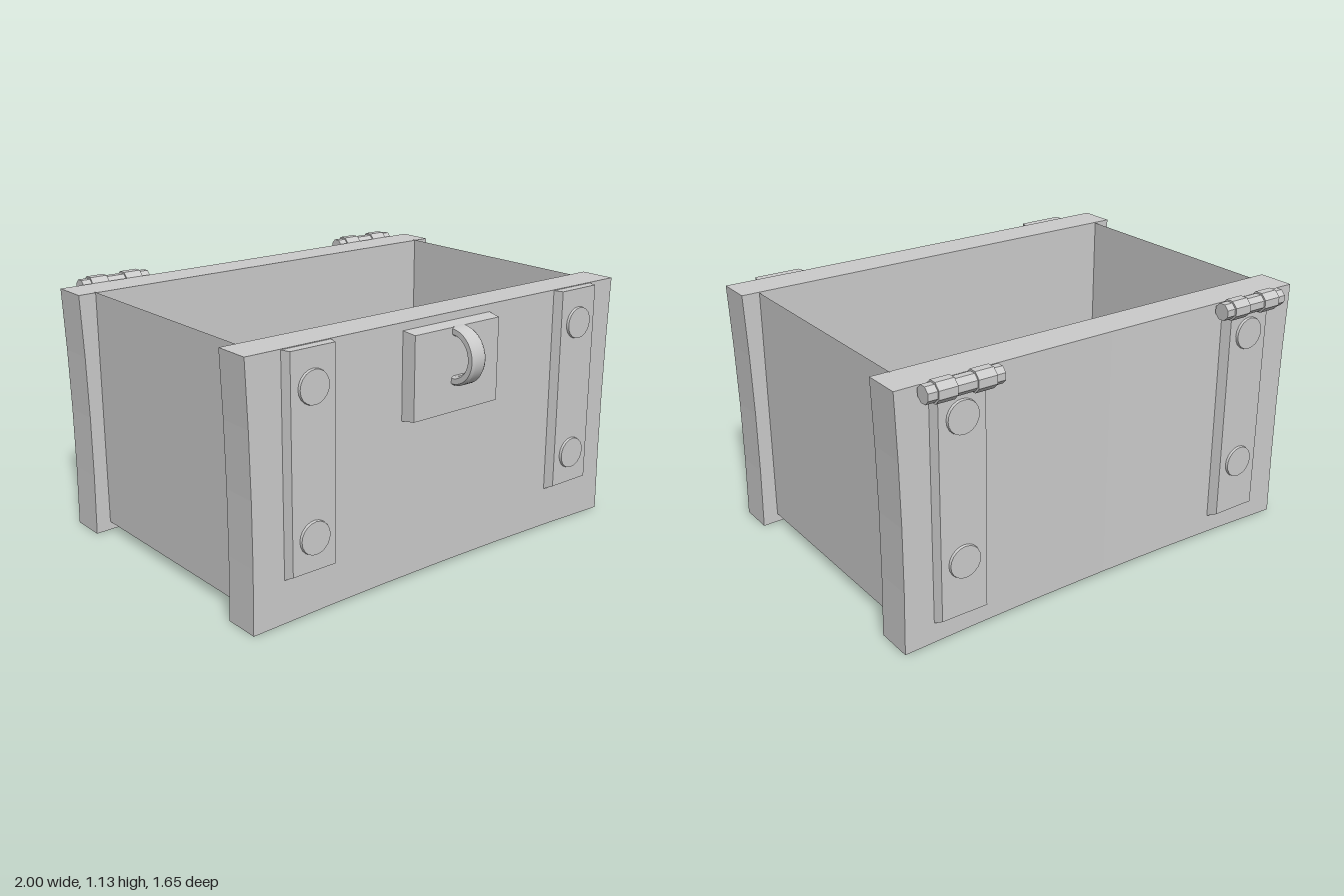
import * as THREE from 'three';
import { toCreasedNormals } from 'three/addons/utils/BufferGeometryUtils.js';

const smooth = new THREE.MeshStandardMaterial({ color: 0xcccccc });
const flat = new THREE.MeshStandardMaterial({ color: 0xcccccc, flatShading: true });
const thin = new THREE.MeshStandardMaterial({ color: 0xcccccc, side: THREE.DoubleSide });

function add(parent, name, geometry, material, x = 0, y = 0, z = 0) {
  const mesh = new THREE.Mesh(geometry, material);
  mesh.name = name;
  mesh.position.set(x, y, z);
  parent.add(mesh);
  return mesh;
}

// Move every vertex of a geometry by a rule
function warp(geometry, rule) {
  const p = geometry.attributes.position;
  const v = new THREE.Vector3();
  for (let i = 0; i < p.count; i++) {
    v.fromBufferAttribute(p, i);
    rule(v);
    p.setXYZ(i, v.x, v.y, v.z);
  }
  geometry.computeVertexNormals();
  return geometry;
}

// Hand-cut end board: waisted sides, lifted lower edge, slightly hollow outer face
function boardGeometry(height, depth, hollow) {
  const g = new THREE.BoxGeometry(2, height, depth, 6, 4, 1);
  return warp(g, (v) => {
    const t = v.y / height + 0.5;
    const middle = 1 - v.x * v.x;
    v.x *= 1 - 0.01 * (1 - t) - 0.04 * t * (1 - t);
    if (t < 0.01) v.y += 0.015 * middle;
    if (v.z > 0) v.z -= hollow * middle;
  });
}

// Plate whose outer face is inset at the sides, bottom and top
function plateGeometry(w, h, d, side, bottom, top) {
  return warp(new THREE.BoxGeometry(w, h, d), (v) => {
    if (v.z < 0) return;
    v.x -= Math.sign(v.x) * side;
    v.y += v.y < 0 ? bottom : -top;
  });
}

// Iron strap with two rivets, resting on the face at z
function addStrap(parent, x, bottom, top, z) {
  const strap = new THREE.Group();
  strap.name = 'strap';
  const d = 0.06;
  add(strap, 'strapPlate', plateGeometry(0.245, top - bottom, d, 0.018, 0.032, 0),
    flat, x, (top + bottom) / 2, z + 0.037 - d / 2);
  for (const y of [0.35, 0.955]) {
    const rivet = new THREE.CylinderGeometry(0.069, 0.073, 0.02, 20).rotateX(Math.PI / 2);
    add(strap, 'rivet', rivet, smooth, x, y, z + 0.038);
  }
  parent.add(strap);
}

// Hinge barrel: pin with two wider collars
function addHinge(parent, x, y, z) {
  const hinge = new THREE.Group();
  hinge.name = 'hinge';
  hinge.position.set(x, y, z);
  const barrel = (name, r, length, cx) => add(hinge, name,
    new THREE.CylinderGeometry(r, r, length, 8).rotateY(Math.PI / 8).rotateZ(Math.PI / 2),
    flat, cx, 0, 0);
  barrel('hingePin', 0.038, 0.335, 0);
  for (const s of [-1, 1]) barrel('hingeCollar', 0.046, 0.082, s * 0.085);
  parent.add(hinge);
}

// Half ring standing out from the lock plate
function ringGeometry() {
  const outer = 0.122, inner = 0.083, a = Math.PI * 0.53;
  const shape = new THREE.Shape();
  shape.absarc(0, 0, outer, -a, a, false);
  shape.absarc(0, 0, inner, a, -a, true);
  shape.closePath();
  const g = new THREE.ExtrudeGeometry(shape, {
    depth: 0.05, curveSegments: 12, bevelEnabled: true,
    bevelThickness: 0.012, bevelSize: 0.008, bevelOffset: -0.008, bevelSegments: 1,
  });
  g.translate(0, 0, -0.025).rotateY(-Math.PI / 2);
  return toCreasedNormals(g, 0.5);
}

export function createModel() {
  const chest = new THREE.Group();
  chest.name = 'chest';

  // Front end
  const front = new THREE.Group();
  front.name = 'front';
  add(front, 'frontBoard', boardGeometry(1.11, 0.162, 0.004), flat, 0, 0.555, 0.567);
  for (const x of [-0.723, 0.738]) addStrap(front, x, 0.178, 1.107, 0.65);

  // Lock plate and ring
  add(front, 'lockPlate', plateGeometry(0.485, 0.38, 0.09, 0.012, 0.012, 0.012),
    flat, -0.008, 0.89, 0.662);
  add(front, 'lockRing', ringGeometry(), smooth, -0.002, 0.948, 0.707);
  chest.add(front);

  // Back end, built facing forward and turned round
  const back = new THREE.Group();
  back.name = 'back';
  back.rotation.y = Math.PI;
  add(back, 'backBoard', boardGeometry(1.105, 0.166, 0.008), flat, 0, 0.5525, 0.658);
  for (const x of [-0.738, 0.717]) {
    addStrap(back, x, 0.082, 1.08, 0.743);
    addHinge(back, x, 1.084, 0.782);
  }
  chest.add(back);

  // Thin side walls and floor
  const zMid = -0.045, depth = 1.08;
  for (const s of [-1, 1]) {
    const wall = new THREE.PlaneGeometry(depth, 1.067).rotateY(s * Math.PI / 2);
    add(chest, s > 0 ? 'leftWall' : 'rightWall', wall, thin, s * 0.92, 0.5735, zMid);
  }
  add(chest, 'floor', new THREE.PlaneGeometry(1.84, depth).rotateX(-Math.PI / 2),
    thin, 0, 0.04, zMid);

  return chest;
}
